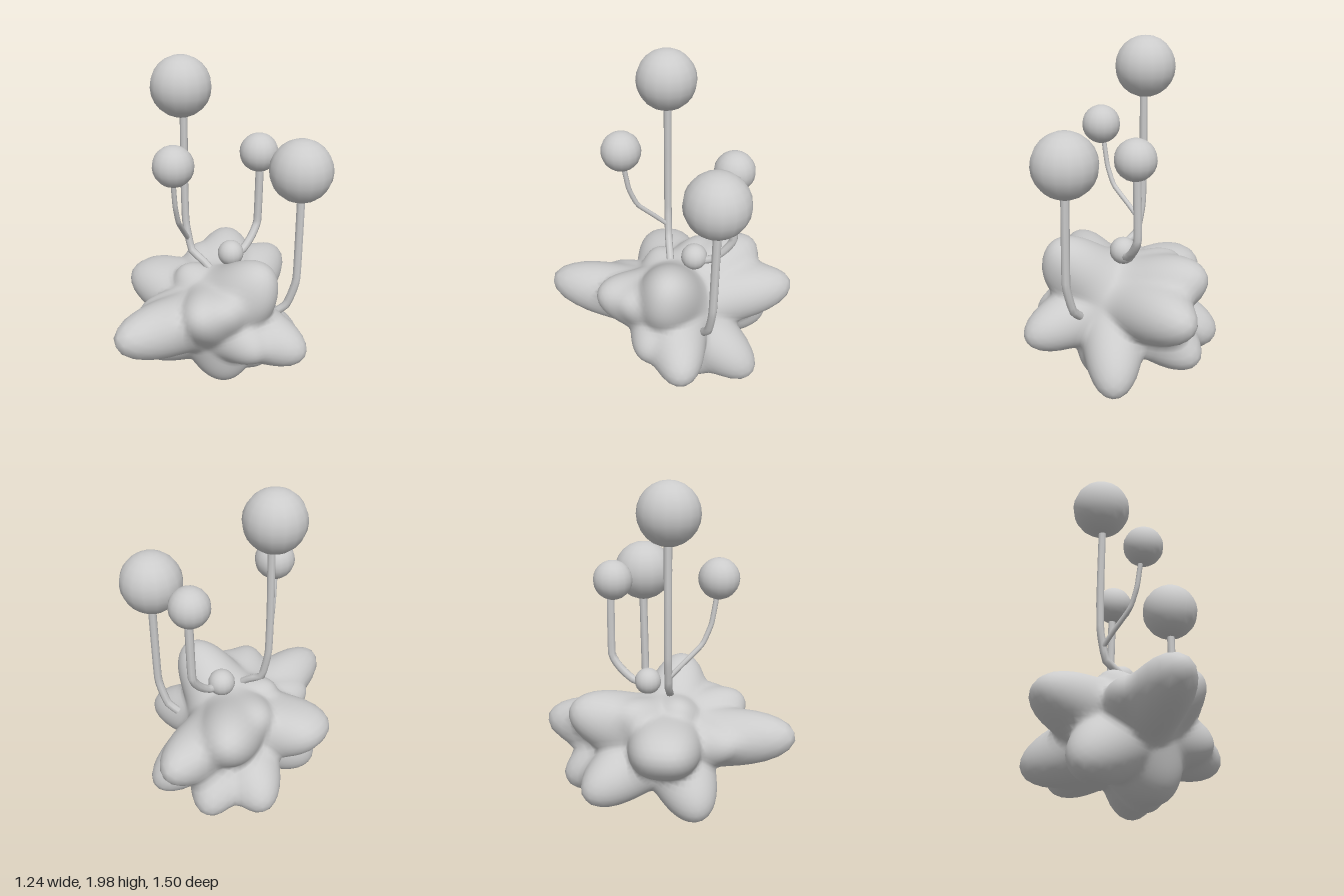
import * as THREE from 'three';
import { mergeVertices } from 'three/addons/utils/BufferGeometryUtils.js';

const material = new THREE.MeshStandardMaterial({ color: 0xcccccc });
const CENTRE = new THREE.Vector3(0, 0.43, 0);
const CORE = 0.3;

// Tips of the lobes swelling out of the body, with their angular width
const LOBES = [
  [-0.6, 0.57, 0.07, 0.4],     // left side
  [-0.59, 0.57, -0.07, 0.42],
  [-0.19, 0.545, 0.75, 0.36],  // front, with its left shoulder
  [-0.3, 0.52, 0.4, 0.36],
  [0.0, 0.55, -0.75, 0.38],    // back
  [0.38, 0.84, 0.07, 0.46],    // upper right, with its lower shoulder
  [0.4, 0.7, 0.1, 0.42],
  [0.61, 0.32, 0.0, 0.4],      // right side, with its front shoulder
  [0.42, 0.36, 0.2, 0.42],
  [-0.45, 0.13, 0.21, 0.46],   // lower front left
  [0.13, 0.03, 0.1, 0.55],     // underside
  [0.24, 0.05, -0.18, 0.45],
  [0.31, 0.08, -0.47, 0.4],    // lower back right
  [0.15, 0.65, 0.455, 0.42],   // upper front, with its right shoulder
  [0.27, 0.66, 0.31, 0.38],
  [-0.26, 0.71, -0.55, 0.44],  // upper back left
  [-0.31, 0.72, -0.24, 0.38],
  [-0.17, 0.22, -0.62, 0.4],   // lower back
  [-0.45, 0.24, -0.45, 0.42],  // lower left back
  [-0.22, 0.72, 0.08, 0.36],   // small top swelling
].map(([x, y, z, width]) => {
  const dir = new THREE.Vector3(x, y, z).sub(CENTRE);
  const reach = dir.length() - CORE;
  return { dir: dir.normalize(), reach, width };
});

// Sphere pushed outward along each lobe; the power sum blends neighbours softly
function bodyGeometry() {
  let geo = new THREE.IcosahedronGeometry(1, 16);
  geo.deleteAttribute('uv');
  geo.deleteAttribute('normal');
  geo = mergeVertices(geo, 1e-4);
  const pos = geo.attributes.position;
  const v = new THREE.Vector3();
  for (let i = 0; i < pos.count; i++) {
    v.fromBufferAttribute(pos, i).normalize();
    let sum = 0;
    for (const { dir, reach, width } of LOBES) {
      const swell = reach * Math.exp(-((v.angleTo(dir) / width) ** 2));
      sum += swell ** 5;
    }
    v.multiplyScalar(CORE + sum ** 0.2).add(CENTRE);
    pos.setXYZ(i, v.x, Math.max(v.y, 0), v.z);
  }
  geo.computeVertexNormals();
  return geo;
}

function add(group, name, geometry) {
  const mesh = new THREE.Mesh(geometry, material);
  mesh.name = name;
  group.add(mesh);
  return mesh;
}

function addBall(group, name, [x, y, z], radius) {
  add(group, name, new THREE.SphereGeometry(radius, 16, 12)).position.set(x, y, z);
}

function addStalk(group, name, points, radius) {
  const curve = new THREE.CatmullRomCurve3(
    points.map((p) => new THREE.Vector3(...p)), false, 'catmullrom', 0.2);
  add(group, name, new THREE.TubeGeometry(curve, 20, radius, 8));
}

// Bent stalks, each ending in a ball
const FEELERS = [
  { name: 'tall', ball: [-0.233, 1.825, 0.015], size: 0.175, radius: 0.023,
    path: [[-0.05, 0.73, 0.01], [-0.1, 0.77, 0.01], [-0.18, 0.82, 0.01],
      [-0.22, 1.0, 0.01], [-0.225, 1.3, 0.01], [-0.22, 1.7, 0.01]] },
  { name: 'front', ball: [-0.105, 1.455, 0.287], size: 0.117, radius: 0.015,
    path: [[-0.205, 0.89, 0.01], [-0.18, 0.97, 0.09], [-0.14, 1.08, 0.2],
      [-0.125, 1.2, 0.25], [-0.115, 1.38, 0.28]] },
  { name: 'back', ball: [0.083, 1.395, -0.34], size: 0.118, radius: 0.025,
    path: [[0.02, 0.76, -0.13], [0.05, 0.79, -0.23], [0.065, 0.85, -0.3],
      [0.075, 0.94, -0.355], [0.083, 1.32, -0.355]] },
  { name: 'right', ball: [0.435, 1.385, -0.195], size: 0.184, radius: 0.025,
    path: [[0.33, 0.46, -0.15], [0.39, 0.52, -0.175], [0.44, 0.7, -0.19],
      [0.44, 1.25, -0.2]] },
];

export function createModel() {
  const model = new THREE.Group();
  model.name = 'lobedCreature';
  add(model, 'body', bodyGeometry());
  for (const { name, ball, size, radius, path } of FEELERS) {
    const feeler = new THREE.Group();
    feeler.name = name + 'Feeler';
    addStalk(feeler, name + 'Stalk', path, radius);
    addBall(feeler, name + 'Ball', ball, size);
    model.add(feeler);
  }
  addBall(model, 'smallBall', [0.015, 0.79, -0.13], 0.08);
  return model;
}
